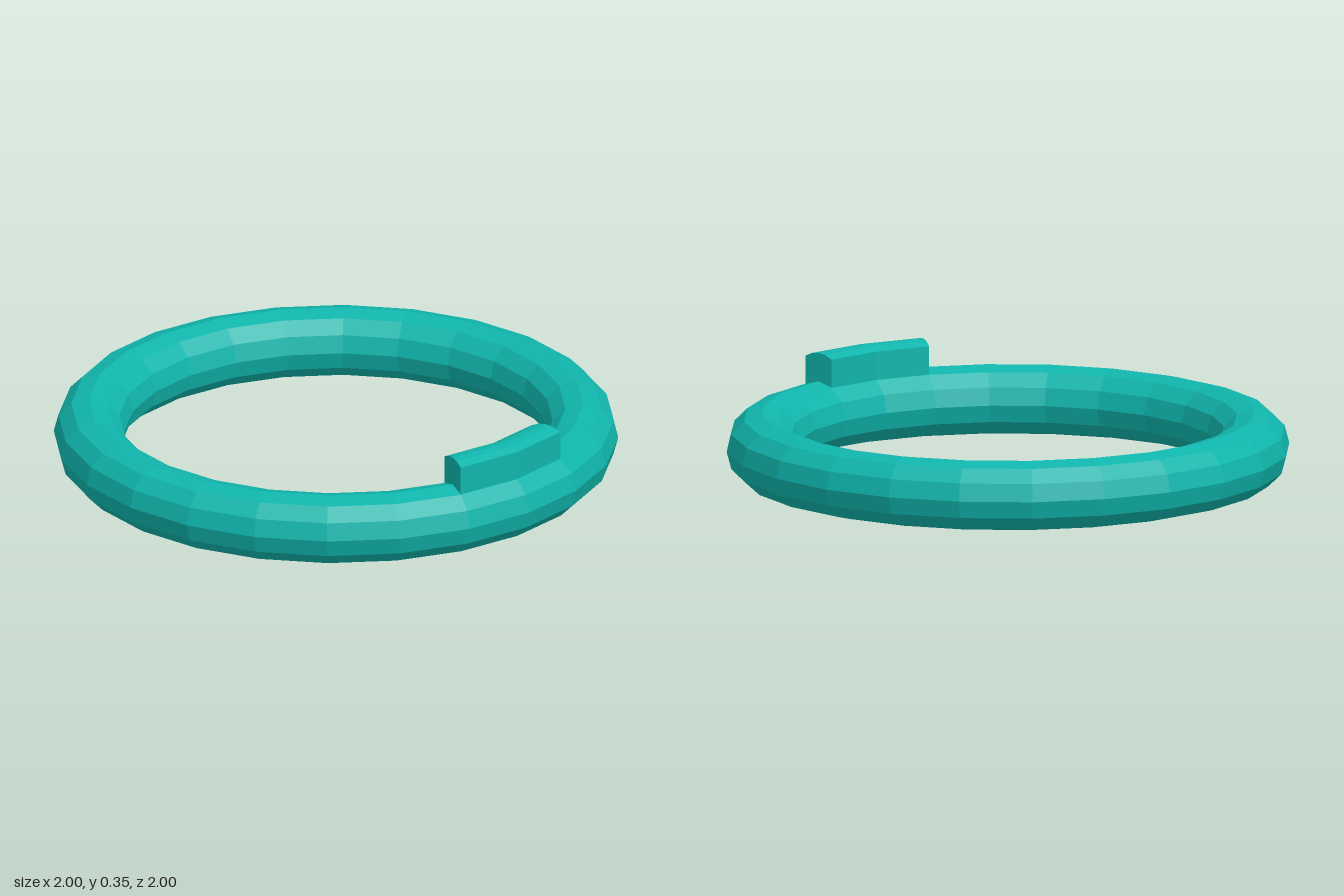
import * as THREE from 'three';

export function createModel() {
  const group = new THREE.Group();
  const teal = new THREE.MeshStandardMaterial({ color: 0x10b5ac, flatShading: true });
  teal.name = 'teal';

  const ringRadius = 0.875;
  const tubeRadius = 0.125;

  // faceted ring lying flat
  const ringGeometry = new THREE.TorusGeometry(ringRadius, tubeRadius, 12, 24);
  ringGeometry.rotateX(-Math.PI / 2);
  ringGeometry.translate(0, tubeRadius, 0);
  const ring = new THREE.Mesh(ringGeometry, teal);
  ring.name = 'ring';
  group.add(ring);

  // tab section: x is the radius, with a slightly crowned top
  const half = 0.06;
  const section = new THREE.Shape([
    [-half, 0.18], [half, 0.18], [half, 0.336], [half * 0.5, 0.349],
    [0, 0.353], [-half * 0.5, 0.349], [-half, 0.336],
  ].map(([r, y]) => new THREE.Vector2(ringRadius + r, y)));
  const tabGeometry = new THREE.ExtrudeGeometry(section, { depth: 1, steps: 2, bevelEnabled: false });

  // bend the straight tab along the ring, 15 degrees to each side
  const p = tabGeometry.attributes.position;
  for (let i = 0; i < p.count; i++) {
    const r = p.getX(i);
    const a = (p.getZ(i) - 0.5) * Math.PI / 6;
    p.setXYZ(i, r * Math.cos(a), p.getY(i), r * Math.sin(a));
  }
  tabGeometry.computeVertexNormals();
  const tab = new THREE.Mesh(tabGeometry, teal);
  tab.name = 'raisedTab';
  group.add(tab);

  return group;
}
